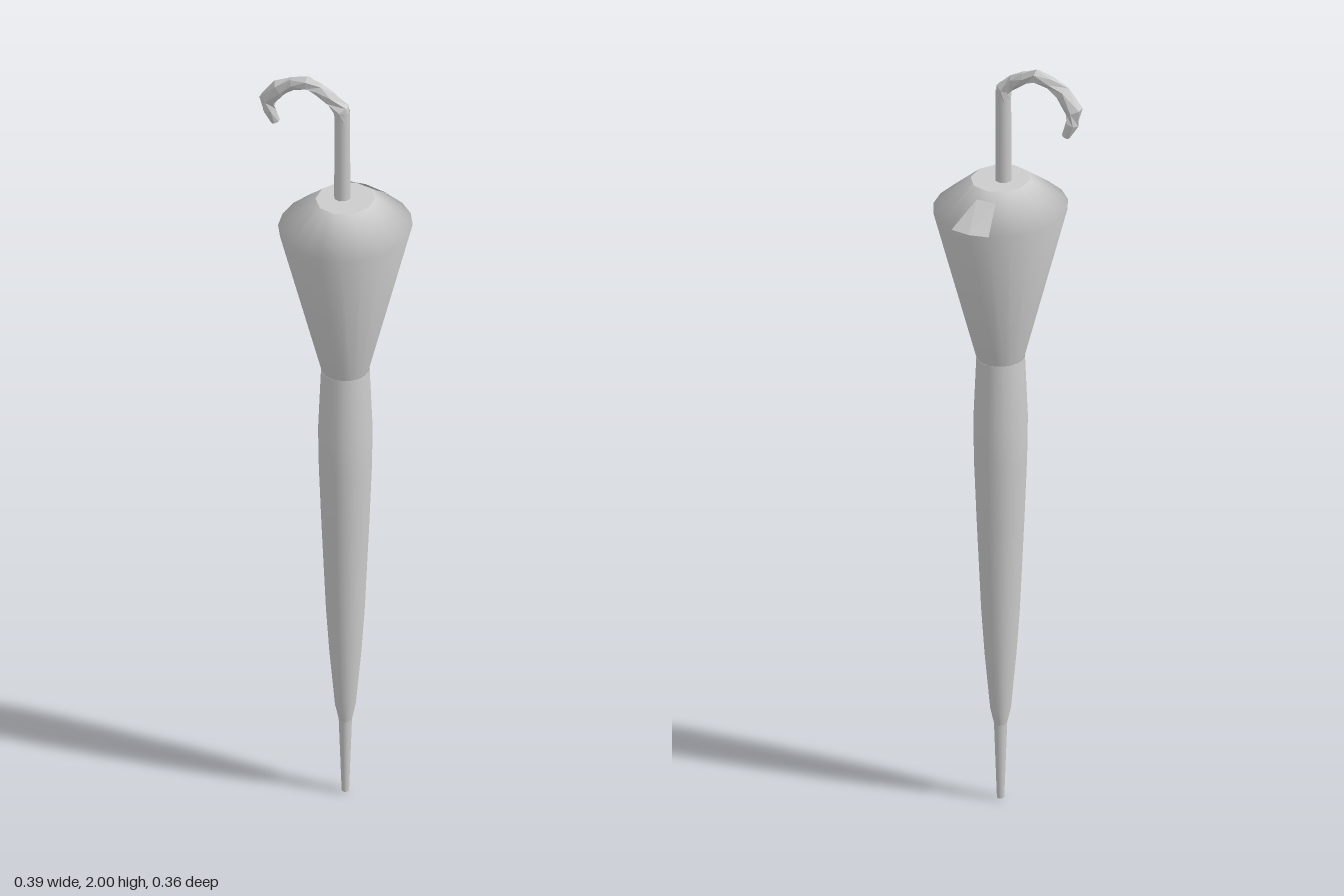
import * as THREE from 'three';

const SIDES = 20;
const AXIS_X = 0.034;
const smooth = new THREE.MeshStandardMaterial({ color: 0xcccccc, side: THREE.DoubleSide });
const faceted = new THREE.MeshStandardMaterial({ color: 0xcccccc, side: THREE.DoubleSide, flatShading: true });

function addMesh(group, name, geometry, material = smooth) {
  const mesh = new THREE.Mesh(geometry, material);
  mesh.name = name;
  group.add(mesh);
  return mesh;
}

// Slightly oval turned part from [radius, height] pairs, listed bottom to top
function turned(profile, sides = SIDES) {
  const points = profile.map(([r, y]) => new THREE.Vector2(r, y));
  return new THREE.LatheGeometry(points, sides).scale(0.9, 1, 1).translate(AXIS_X, 0, 0);
}

// Loft through stations [x, y, z, radius]; alternate rings are turned half a side
function loft(stations, sides) {
  const centres = stations.map(s => new THREE.Vector3(s[0], s[1], s[2]));
  const positions = [];
  const index = [];
  const across = new THREE.Vector3(0, 0, 1);
  stations.forEach((s, j) => {
    const before = centres[Math.max(j - 1, 0)];
    const after = centres[Math.min(j + 1, centres.length - 1)];
    const tangent = after.clone().sub(before).normalize();
    const normal = across.clone().cross(tangent).normalize();
    for (let i = 0; i < sides; i++) {
      const a = ((i + (j % 2) / 2) / sides) * Math.PI * 2;
      const p = centres[j].clone()
        .addScaledVector(normal, Math.cos(a) * s[3])
        .addScaledVector(across, Math.sin(a) * s[3]);
      positions.push(p.x, p.y, p.z);
      if (j < stations.length - 1) {
        const n = (i + 1) % sides;
        const A = j * sides + i, B = j * sides + n;
        const C = A + sides, D = B + sides;
        index.push(A, C, B, B, C, D);
      }
    }
  });
  // Close the far end
  const last = (stations.length - 1) * sides;
  for (let i = 1; i < sides - 1; i++) index.push(last, last + i + 1, last + i);
  const g = new THREE.BufferGeometry();
  g.setAttribute('position', new THREE.Float32BufferAttribute(positions, 3));
  g.setIndex(index);
  g.computeVertexNormals();
  return g;
}

export function createModel() {
  const model = new THREE.Group();
  model.name = 'closedUmbrella';

  // Ferrule at the foot
  addMesh(model, 'ferrule', turned([[0, 0], [0.01, 0.005], [0.018, 0.21]], 10));

  // Wrapped lower canopy
  addMesh(model, 'wrappedCanopy', turned([
    [0.016, 0.2], [0.028, 0.25], [0.043, 0.4], [0.052, 0.52],
    [0.064, 0.76], [0.071, 0.92], [0.073, 1.03], [0.065, 1.2],
  ]));

  // Flared canopy edge; its ten-sided mouth drops every second corner
  const flare = turned([[0.064, 1.2], [0.18, 1.605], [0.08, 1.68]]);
  const pos = flare.attributes.position;
  const flat = Math.cos(Math.PI / 10);
  for (let i = 1; i < SIDES; i += 2) {
    const v = i * 3 + 2;
    pos.setX(v, AXIS_X + (pos.getX(v) - AXIS_X) * flat);
    pos.setZ(v, pos.getZ(v) * flat);
  }
  addMesh(model, 'flaredCanopy', flare);

  // Flat lid around the shaft
  const lid = new THREE.CircleGeometry(0.08, 10, Math.PI / 2)
    .rotateX(-Math.PI / 2).scale(0.9, 1, 1).translate(AXIS_X, 1.68, 0);
  addMesh(model, 'canopyLid', lid);

  // Flat closing strap on the back shoulder
  const strap = new THREE.BufferGeometry();
  strap.setAttribute('position', new THREE.Float32BufferAttribute([
    0.084, 1.606, -0.173, 0.034, 1.606, -0.182, 0.049, 1.665, -0.104,
    0.034, 1.606, -0.182, -0.002, 1.665, -0.104, 0.049, 1.665, -0.104,
    0.034, 1.606, -0.182, -0.016, 1.606, -0.173, -0.002, 1.665, -0.104,
  ], 3));
  strap.computeVertexNormals();
  addMesh(model, 'closingStrap', strap, faceted);

  // Straight shaft
  const shaft = new THREE.CylinderGeometry(0.02, 0.021, 0.25, 8, 1, true);
  addMesh(model, 'shaft', shaft).position.set(0.025, 1.8, -0.003);

  // Gnarled crook handle
  addMesh(model, 'crookHandle', loft([
    [0.025, 1.90, -0.003, 0.02],
    [0.023, 1.928, -0.003, 0.021],
    [-0.005, 1.952, -0.004, 0.018],
    [-0.035, 1.97, -0.006, 0.016],
    [-0.068, 1.981, -0.01, 0.019],
    [-0.105, 1.972, -0.01, 0.016],
    [-0.14, 1.953, -0.014, 0.021],
    [-0.173, 1.912, -0.018, 0.022],
    [-0.17, 1.88, -0.022, 0.017],
    [-0.155, 1.845, -0.027, 0.011],
  ], 6), faceted);

  return model;
}
